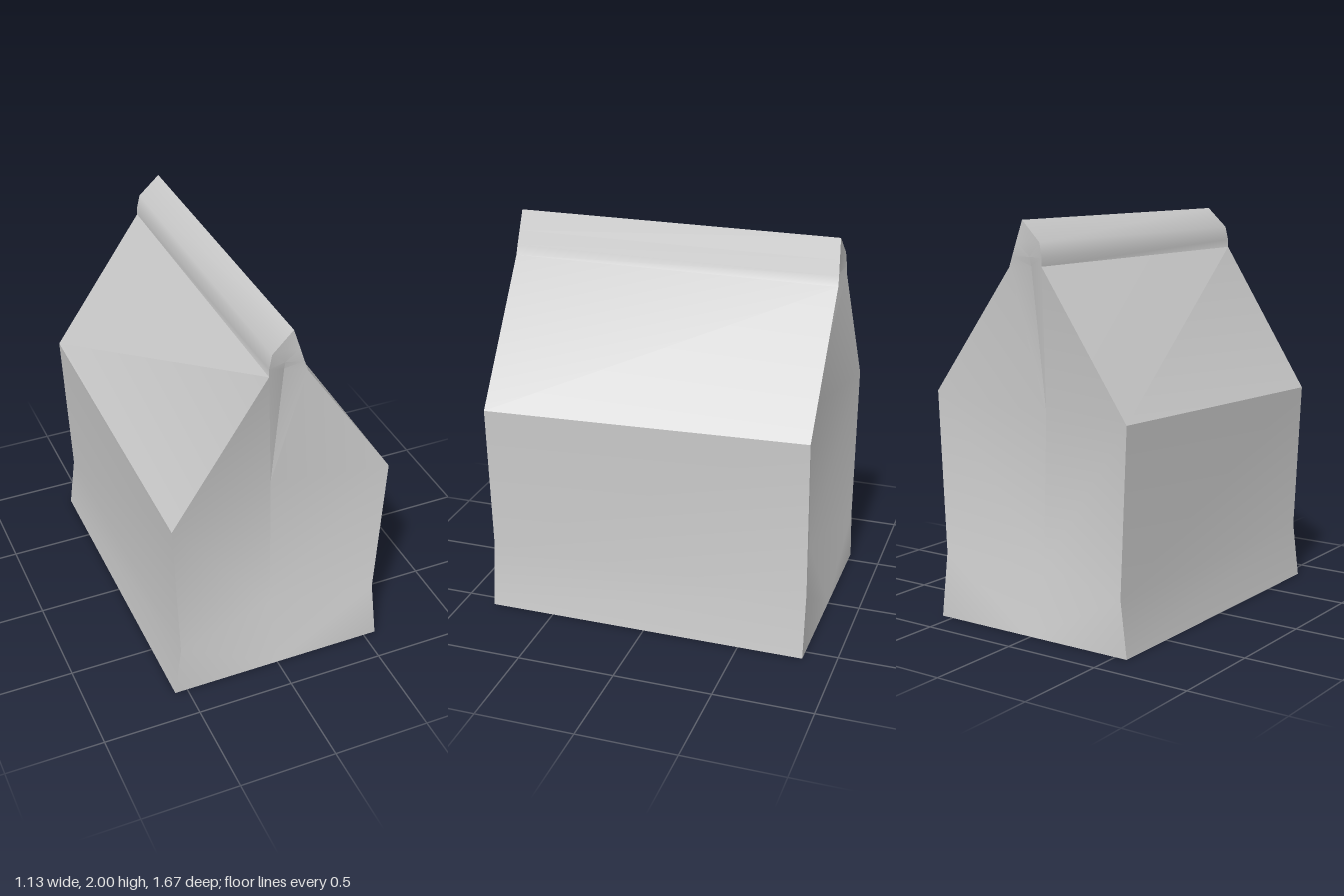
import * as THREE from 'three';
import { toCreasedNormals } from 'three/addons/utils/BufferGeometryUtils.js';

// Cross-section rows from base to folded top: [x, y] of each side panel edge
const RIGHT = [[0.565, 0], [0.525, 0.34], [0.562, 1.105], [0.10, 1.78], [0.084, 1.83], [0.062, 1.90], [0.03, 2]];
const LEFT = [[-0.565, 0], [-0.53, 0.28], [-0.565, 1.05], [-0.09, 1.79], [-0.09, 1.83], [-0.075, 1.90], [0.03, 2]];
// Pleat line down the middle of each end: [x, y, inward depth]
const PLEAT = [[0, 0, 0], [0, 0.32, 0.11], [0, 1.08, 0.14], [0.005, 1.785, 0.045], [0, 1.83, 0.025], [0, 1.90, 0.01], [0.03, 2, 0]];
const EAVE = 2; // this row sits a little higher at the back

export function createModel() {
  const group = new THREE.Group();
  group.name = 'paperBag';
  const paper = new THREE.MeshStandardMaterial({ color: 0xcccccc });
  paper.name = 'pale grey paper';

  // Corner of row i at the front (s = 1) or back (s = -1)
  const depth = (y) => 0.833 - 0.012 * Math.max(0, (y - 1.8) / 0.2);
  const edge = (rows, i, s) => {
    const [x, y] = rows[i];
    return new THREE.Vector3(x, y + (i === EAVE && s < 0 ? 0.05 : 0), s * depth(y));
  };
  const pleat = (i, s) => {
    const [x, y, d] = PLEAT[i];
    return new THREE.Vector3(x, y, s * (depth(y) - d));
  };

  function addPart(name, triangles) {
    const points = triangles.filter((t) => new THREE.Triangle(...t).getArea() > 1e-7).flat();
    const geometry = new THREE.BufferGeometry().setFromPoints(points);
    geometry.computeVertexNormals();
    const mesh = new THREE.Mesh(toCreasedNormals(geometry, 0.6), paper);
    mesh.name = name;
    group.add(mesh);
  }
  const quad = (a, b, c, d) => [[a, b, c], [a, c, d]];

  // Side panels running from the base up to the folded ridge
  const left = [], right = [];
  for (let i = 0; i < RIGHT.length - 1; i++) {
    right.push(...quad(edge(RIGHT, i, 1), edge(RIGHT, i, -1), edge(RIGHT, i + 1, -1), edge(RIGHT, i + 1, 1)));
    left.push(...quad(edge(LEFT, i, -1), edge(LEFT, i, 1), edge(LEFT, i + 1, 1), edge(LEFT, i + 1, -1)));
  }
  addPart('leftPanel', right);
  addPart('rightPanel', left);

  // Pleated front and back, each with triangular folds at the base
  for (const s of [1, -1]) {
    const tris = [];
    for (let i = 0; i < PLEAT.length - 1; i++) {
      const c0 = pleat(i, s), c1 = pleat(i + 1, s);
      tris.push(...quad(c0, edge(RIGHT, i, s), edge(RIGHT, i + 1, s), c1));
      tris.push([c0, edge(LEFT, i + 1, s), edge(LEFT, i, s)], [c0, c1, edge(LEFT, i + 1, s)]);
    }
    addPart(s > 0 ? 'frontPleat' : 'backPleat', s > 0 ? tris : tris.map(([a, b, c]) => [a, c, b]));
  }

  // Flat base
  addPart('base', quad(edge(LEFT, 0, 1), edge(LEFT, 0, -1), edge(RIGHT, 0, -1), edge(RIGHT, 0, 1)));
  return group;
}
